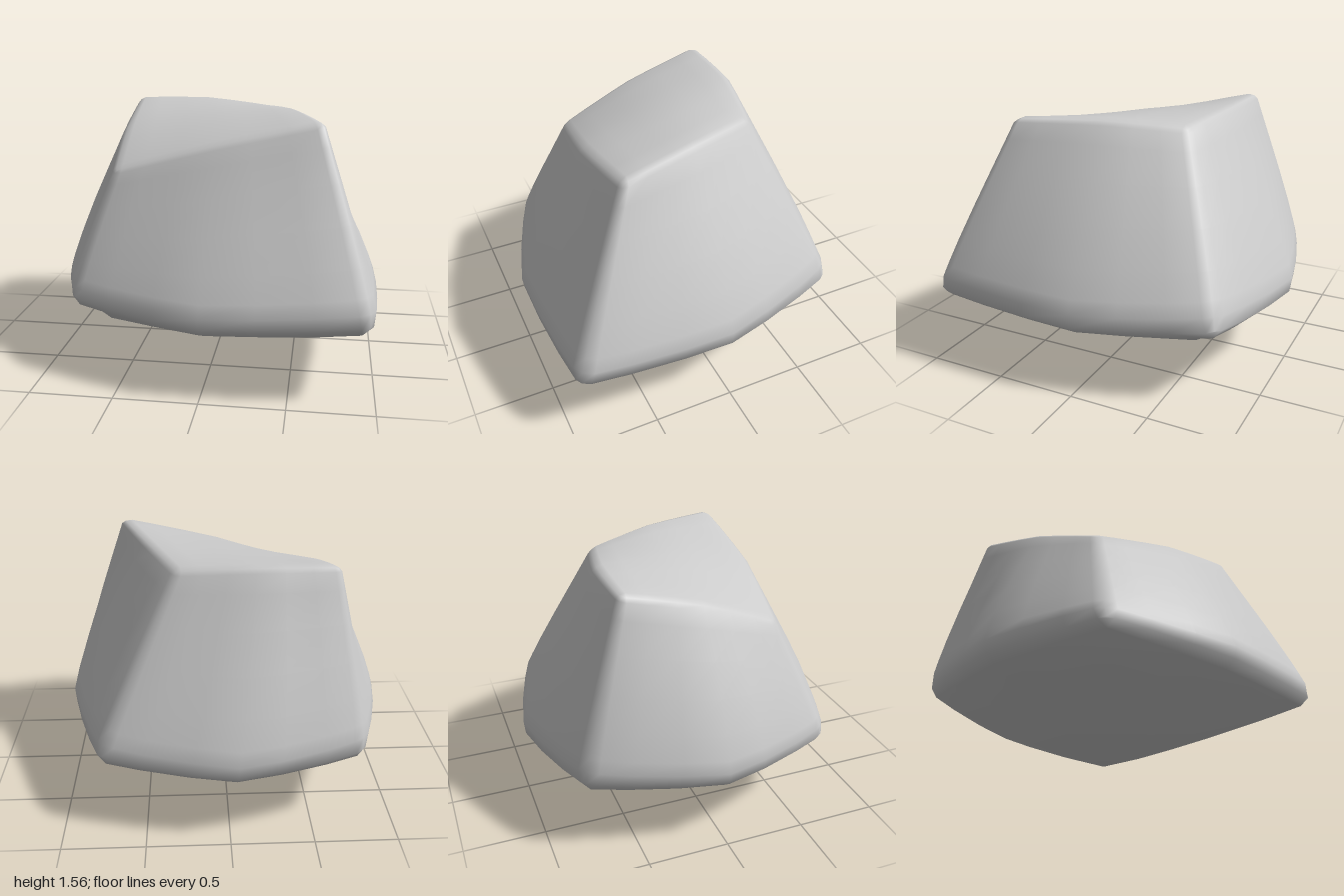
import * as THREE from 'three';
import { mergeVertices } from 'three/addons/utils/BufferGeometryUtils.js';

const V = (x, y, z) => new THREE.Vector3(x, y, z);

// Grid lines across the stone, crowded towards its edges to form the bevels
const ACROSS = [-1, -0.91, -0.67, -0.33, 0, 0.33, 0.67, 0.91, 1];
const UPWARDS = [-1, -0.83, -0.68, -0.4, 0, 0.4, 0.75, 0.93, 1];

// 3 x 3 control points, rows from back to front, each from right to left
const BASE = [
  [V(-0.81, 0.5, -0.82), V(-0.04, 0.435, -1.02), V(0.78, 0.49, -0.82)],
  [V(-1.02, 0.435, 0), V(-0.02, 0.44, 0), V(1.02, 0.435, 0)],
  [V(-0.81, 0.5, 0.735), V(0, 0.435, 1.015), V(0.99, 0.485, 0.98)]
];
const TOP = [
  [V(-0.65, 1.56, -0.525), V(-0.17, 1.56, -0.52), V(0.29, 1.51, -0.42)],
  [V(-0.63, 1.42, -0.02), V(-0.04, 1.515, 0.01), V(0.49, 1.56, 0.03)],
  [V(-0.595, 1.22, 0.455), V(0.03, 1.41, 0.54), V(0.665, 1.56, 0.535)]
];
const TIP_DEPTH = 0.44;

// Falls from 1 in the middle to 0 at the edges; sharp = 1 gives a straight slope
const ridge = (t, sharp) => 1 - sharp * Math.abs(t) - (1 - sharp) * t * t;
const weights = (t) => {
  const m = ridge(t, 0.55);
  return [(1 - t - m) / 2, m, (1 + t - m) / 2];
};

// Point on the surface spanned by nine control points
function patch(grid, u, w) {
  const a = weights(u), b = weights(w);
  const p = V(0, 0, 0);
  grid.forEach((row, j) => row.forEach((q, i) => p.addScaledVector(q, a[i] * b[j])));
  return p;
}

// Moves a point of the 2 x 2 x 2 block onto the stone
function shape(p) {
  const line = (c) => Math.round((c + 1) * 4);
  const q = V(ACROSS[line(p.x)], UPWARDS[line(p.y)], ACROSS[line(p.z)]);

  // Round off edges and corners
  const limits = q.toArray().filter((c) => Math.abs(c) === 1).length;
  const limit = [1, 1, 0.972, 0.958][limits];
  q.clampScalar(-limit, limit);

  // Blend from base to top, with flanks that swell most along their middle
  const f = (q.y + 1) / 2;
  const flank = Math.max(ridge(q.x, 0.5), ridge(q.z, 0.5));
  const swell = 1 + (0.015 + 0.03 * flank) * Math.sin(Math.PI * Math.pow(f, 0.7));
  const r = patch(BASE, q.x, q.z).lerp(patch(TOP, q.x, q.z), f);

  // Shallow pointed underside
  const mu = ridge(q.x, 0.85), mw = ridge(q.z, 0.85);
  const depth = TIP_DEPTH * (0.85 * Math.min(mu, mw) + 0.15 * mu * mw);
  return V(r.x * swell, r.y - depth * Math.pow(1 - f, 40), r.z * swell);
}

export function createModel() {
  let geometry = new THREE.BoxGeometry(2, 2, 2, 8, 8, 8);
  geometry.deleteAttribute('uv');
  geometry.deleteAttribute('normal');
  geometry = mergeVertices(geometry);

  const position = geometry.attributes.position;
  for (let i = 0; i < position.count; i++) {
    const p = shape(V(0, 0, 0).fromBufferAttribute(position, i));
    position.setXYZ(i, p.x, p.y, p.z);
  }
  geometry.computeVertexNormals();

  const stone = new THREE.Mesh(
    geometry,
    new THREE.MeshStandardMaterial({ color: 0xcccccc })
  );
  stone.name = 'stone';

  const model = new THREE.Group();
  model.name = 'rock';
  model.add(stone);
  return model;
}
